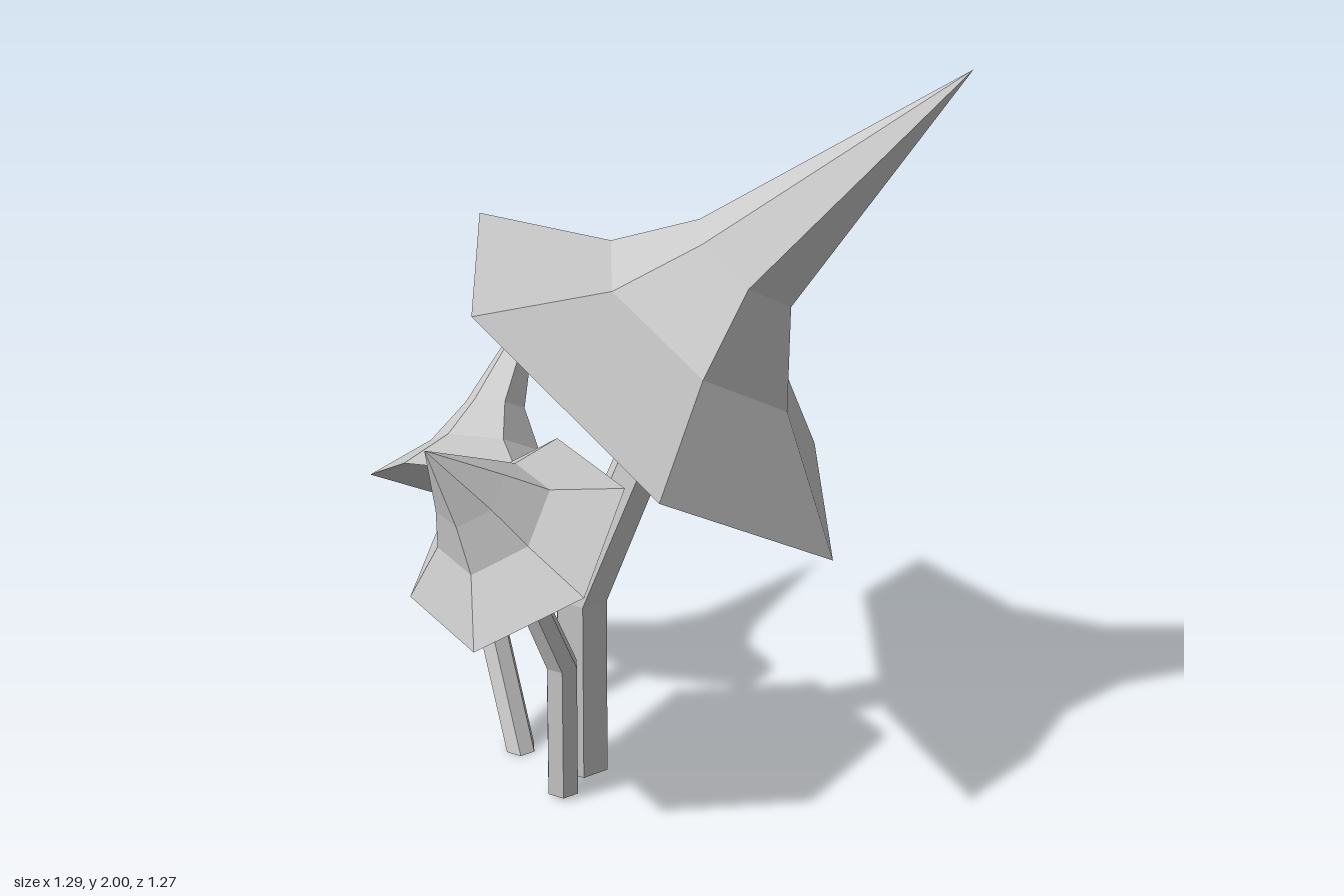
import * as THREE from 'three';

const V = (p) => new THREE.Vector3(...p);
const material = new THREE.MeshStandardMaterial({ color: 0xcccccc, flatShading: true, side: THREE.DoubleSide });

// Joins a stack of rings (equal point counts) into a faceted surface.
function loft(rings, name) {
  const pos = [];
  const tri = (a, b, c) => [a, b, c].forEach((p) => pos.push(p.x, p.y, p.z));
  for (let r = 0; r < rings.length - 1; r++) {
    const lo = rings[r], hi = rings[r + 1], n = lo.length;
    for (let i = 0; i < n; i++) {
      const j = (i + 1) % n;
      if (lo[i].distanceTo(lo[j]) > 1e-6) tri(lo[i], lo[j], hi[j]);
      if (hi[i].distanceTo(hi[j]) > 1e-6) tri(lo[i], hi[j], hi[i]);
    }
  }
  const geometry = new THREE.BufferGeometry();
  geometry.setAttribute('position', new THREE.Float32BufferAttribute(pos, 3));
  geometry.computeVertexNormals();
  const mesh = new THREE.Mesh(geometry, material);
  mesh.name = name;
  return mesh;
}

// Tilted hexagonal ring spanned by two neighbouring corner directions a and b.
function hexRing(center, a, b, scale) {
  return [[1, 0], [0, 1], [-1, 1], [-1, 0], [0, -1], [1, -1]].map(([s, t]) =>
    center.clone().addScaledVector(a, s * scale).addScaledVector(b, t * scale));
}

// Level hexagonal ring with corners on the x axis.
function levelRing(center, radius) {
  return Array.from({ length: 6 }, (_, i) => {
    const angle = -i * Math.PI / 3;
    return new THREE.Vector3(center.x + radius * Math.cos(angle), center.y, center.z + radius * Math.sin(angle));
  });
}

function mushroom({ name, center, a, b, rings, tip, stem, radius }) {
  const group = new THREE.Group();
  group.name = name;
  const c = V(center), u = V(a), v = V(b);
  const apex = c.clone().add(V(rings[0]).multiplyScalar(0.9));

  // Cap: hollow underside, flared rim, two narrowing rings and a long bent tip
  group.add(loft([
    hexRing(apex, u, v, 0),
    hexRing(c, u, v, 1),
    hexRing(c.clone().add(V(rings[0])), u, v, rings[0][3]),
    hexRing(c.clone().add(V(rings[1])), u, v, rings[1][3]),
    hexRing(V(tip), u, v, 0),
  ], 'cap'));

  // Stem: six-sided with one bend, running up into the cap
  const base = V(stem[0]);
  group.add(loft([
    levelRing(base, 0),
    levelRing(base, radius),
    levelRing(V(stem[1]), radius),
    levelRing(apex, radius * 0.85),
  ], 'stem'));
  return group;
}

export function createModel() {
  const model = new THREE.Group();
  model.name = 'mushroomCluster';
  // Ring entries: offset from the rim centre, then scale relative to the rim
  model.add(
    mushroom({
      name: 'largeMushroom',
      center: [0.04, 1.12, 0.08], a: [0.21, -0.34, 0.51], b: [0.55, -0.34, -0.04],
      rings: [[0.083, 0.175, 0.08, 0.49], [0.17, 0.355, 0.156, 0.25]],
      tip: [0.64, 2, 0.56],
      stem: [[-0.145, 0, 0.025], [-0.145, 0.53, 0.025]], radius: 0.075,
    }),
    mushroom({
      name: 'leaningMushroom',
      center: [-0.392, 0.797, 0.112], a: [-0.222, -0.167, -0.163], b: [-0.222, -0.167, 0.163],
      rings: [[-0.065, 0.09, 0, 0.52], [-0.129, 0.181, 0, 0.32]],
      tip: [-0.648, 1.133, 0.115],
      stem: [[-0.265, 0.01, 0.118], [-0.265, 0.4, 0.118]], radius: 0.045,
    }),
    mushroom({
      name: 'backMushroom',
      center: [-0.218, 0.692, -0.378], a: [0.253, -0.16, -0.047], b: [0.033, -0.16, -0.262],
      rings: [[0.043, 0.092, -0.044, 0.49], [0.1, 0.18, -0.085, 0.27]],
      tip: [0.12, 1.1, -0.62],
      stem: [[-0.25, 0, -0.13], [-0.235, 0.31, -0.3]], radius: 0.043,
    }),
  );
  return model;
}
